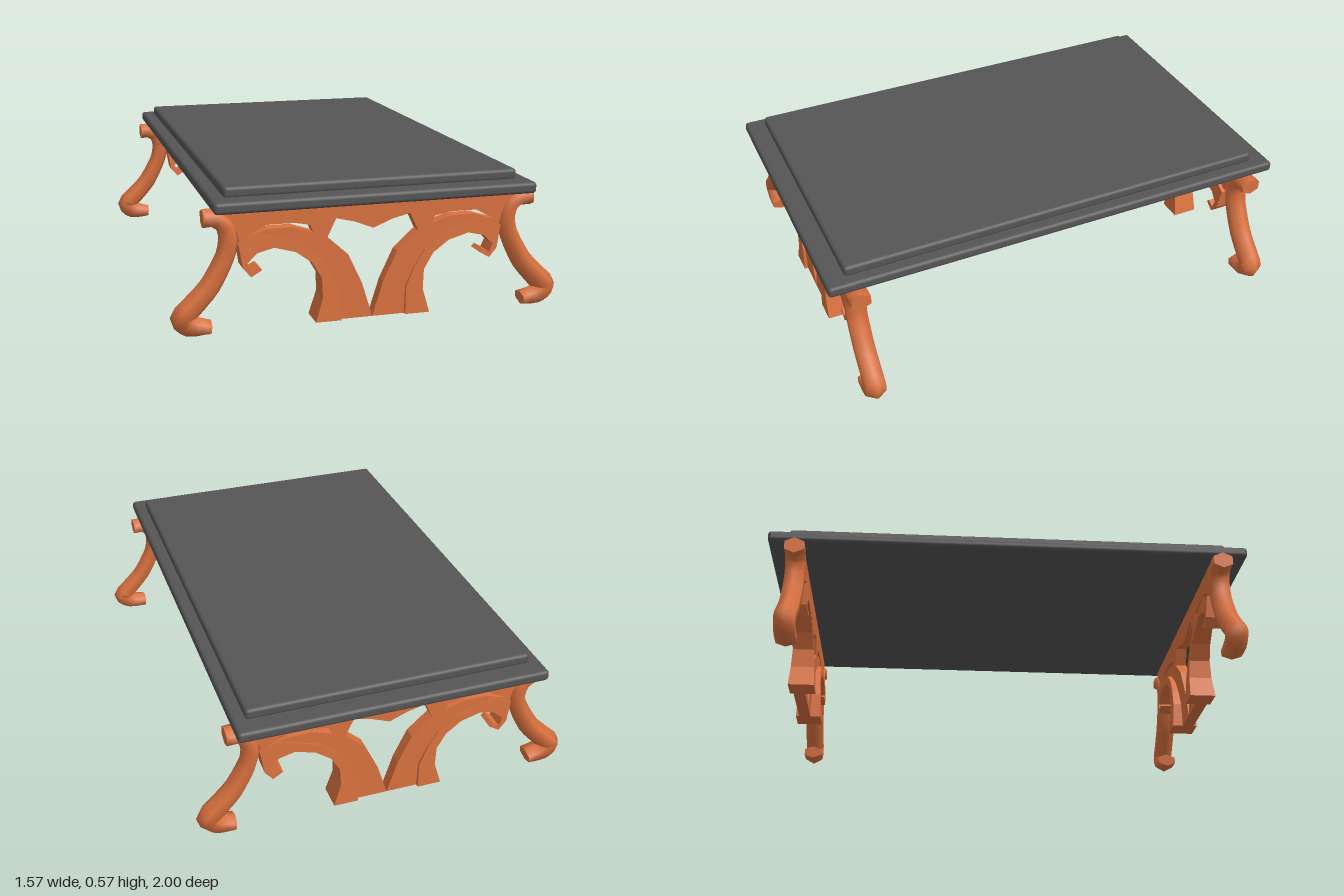
import * as THREE from 'three';
import { RoundedBoxGeometry } from 'three/addons/geometries/RoundedBoxGeometry.js';

const wood = new THREE.MeshStandardMaterial({ color: 0xd9713f });
const dark = new THREE.MeshStandardMaterial({ color: 0x555555 });
const END_Z = 0.885;

function mesh(name, geometry, material) {
  const m = new THREE.Mesh(geometry, material);
  m.name = name;
  return m;
}

const points = (list, side = 1) => list.map(([x, y]) => new THREE.Vector2(x * side, y));

// Extrude an outline between the inner (z0) and outer (z1) faces
function plate(outline, holes, side, z0, z1) {
  const shape = new THREE.Shape(points(outline, side));
  for (const h of holes) shape.holes.push(new THREE.Path(points(h, side)));
  return new THREE.ExtrudeGeometry(shape, { depth: z1 - z0, bevelEnabled: false }).translate(0, 0, z0);
}

// Half of the fretwork panel: apron, central bracket and the thin strip of the arch
const panelHalf = [
  [0, 0.5], [0.6, 0.5], [0.56, 0.45], [0.53, 0.41], [0.52, 0.365],
  [0.39, 0.36], [0.28, 0.325], [0.2, 0.26], [0.15, 0.16], [0.14, 0.03],
  [0, 0.03], [0.043, 0.168], [0.098, 0.285], [0.182, 0.361], [0.148, 0.433], [0.075, 0.415], [0, 0.385],
];
const panelGap = [
  [0.503, 0.382], [0.42, 0.427], [0.31, 0.427], [0.25, 0.415], [0.238, 0.385], [0.315, 0.411], [0.41, 0.411],
];

// Heavy arch with a curled tip
const archOutline = [
  [0.13, 0.03], [0.23, 0.03], [0.202, 0.126], [0.206, 0.206], [0.244, 0.269], [0.307, 0.315],
  [0.39, 0.338], [0.454, 0.322], [0.492, 0.286], [0.479, 0.252], [0.45, 0.268], [0.437, 0.256],
  [0.479, 0.231], [0.51, 0.268], [0.525, 0.36], [0.45, 0.395], [0.39, 0.382], [0.28, 0.345],
  [0.21, 0.285], [0.165, 0.215], [0.133, 0.14],
];

function archGeometry(side) {
  const g = plate(archOutline, [], side, -1, 1);
  const p = g.attributes.position;
  // Thicken towards the foot, mostly to the inside
  for (let i = 0; i < p.count; i++) {
    const t = THREE.MathUtils.clamp((0.42 - p.getY(i)) / 0.39, 0, 1);
    p.setZ(i, p.getZ(i) < 0 ? -0.042 - 0.033 * t : 0.022 + 0.013 * t);
  }
  g.computeVertexNormals();
  return g;
}

// Leg centre line with the in-plane half width at each station
const legPath = [
  [0.655, 0.463, 0.036], [0.61, 0.463, 0.036], [0.572, 0.437, 0.036], [0.558, 0.386, 0.038],
  [0.572, 0.313, 0.038], [0.63, 0.204, 0.042], [0.697, 0.13, 0.045], [0.738, 0.086, 0.046],
  [0.705, 0.052, 0.044], [0.633, 0.042, 0.028],
];

// Sweep a six-sided section, pointed in the plane of the leg
function legGeometry(side) {
  const curve = new THREE.CatmullRomCurve3(
    legPath.map(([x, y]) => new THREE.Vector3(x, y, 0)), false, 'catmullrom', 0.4);
  const SEG = 27, N = 6, pos = [], idx = [];
  for (let i = 0; i <= SEG; i++) {
    const t = i / SEG, f = t * (legPath.length - 1), k = Math.min(Math.floor(f), legPath.length - 2);
    const r = THREE.MathUtils.lerp(legPath[k][2], legPath[k + 1][2], f - k);
    const c = curve.getPoint(t), d = curve.getTangent(t);
    for (let j = 0; j < N; j++) {
      const a = (j / N) * Math.PI * 2, u = Math.cos(a) * r, w = Math.sin(a) * 0.046;
      pos.push((c.x - d.y * u) * side, Math.max(0, c.y + d.x * u), w);
    }
  }
  const tri = (a, b, c) => (side > 0 ? idx.push(a, b, c) : idx.push(a, c, b));
  for (let i = 0; i < SEG; i++) {
    for (let j = 0; j < N; j++) {
      const a = i * N + j, b = i * N + (j + 1) % N;
      tri(a, b, a + N);
      tri(b, b + N, a + N);
    }
  }
  // End caps on their own vertices for a crisp edge
  for (const ring of [0, SEG]) {
    const start = pos.length / 3;
    pos.push(...pos.slice(ring * N * 3, (ring + 1) * N * 3));
    for (let j = 1; j < N - 1; j++) {
      if (ring) tri(start, start + j, start + j + 1);
      else tri(start, start + j + 1, start + j);
    }
  }
  const g = new THREE.BufferGeometry();
  g.setAttribute('position', new THREE.Float32BufferAttribute(pos, 3));
  g.setIndex(idx);
  g.computeVertexNormals();
  return g;
}

function endFrame(name) {
  const frame = new THREE.Group();
  frame.name = name;
  for (const [label, side] of [['left', 1], ['right', -1]]) {
    frame.add(
      mesh(label + 'Panel', plate(panelHalf, [panelGap], side, -0.03, 0.02), wood),
      mesh(label + 'Arch', archGeometry(side), wood),
      mesh(label + 'Leg', legGeometry(side), wood),
    );
  }
  return frame;
}

export function createModel() {
  const table = new THREE.Group();
  table.name = 'table';

  // Two stepped slabs
  const lower = mesh('lowerTop', new RoundedBoxGeometry(1.26, 0.045, 2, 3, 0.015), dark);
  lower.position.y = 0.522;
  const upper = mesh('upperTop', new RoundedBoxGeometry(1.16, 0.045, 1.84, 3, 0.015), dark);
  upper.position.y = 0.561;
  table.add(lower, upper);

  // Matching frames at both ends
  const front = endFrame('frontFrame');
  front.position.z = END_Z;
  const back = endFrame('backFrame');
  back.position.z = -END_Z;
  back.rotation.y = Math.PI;
  table.add(front, back);
  return table;
}
